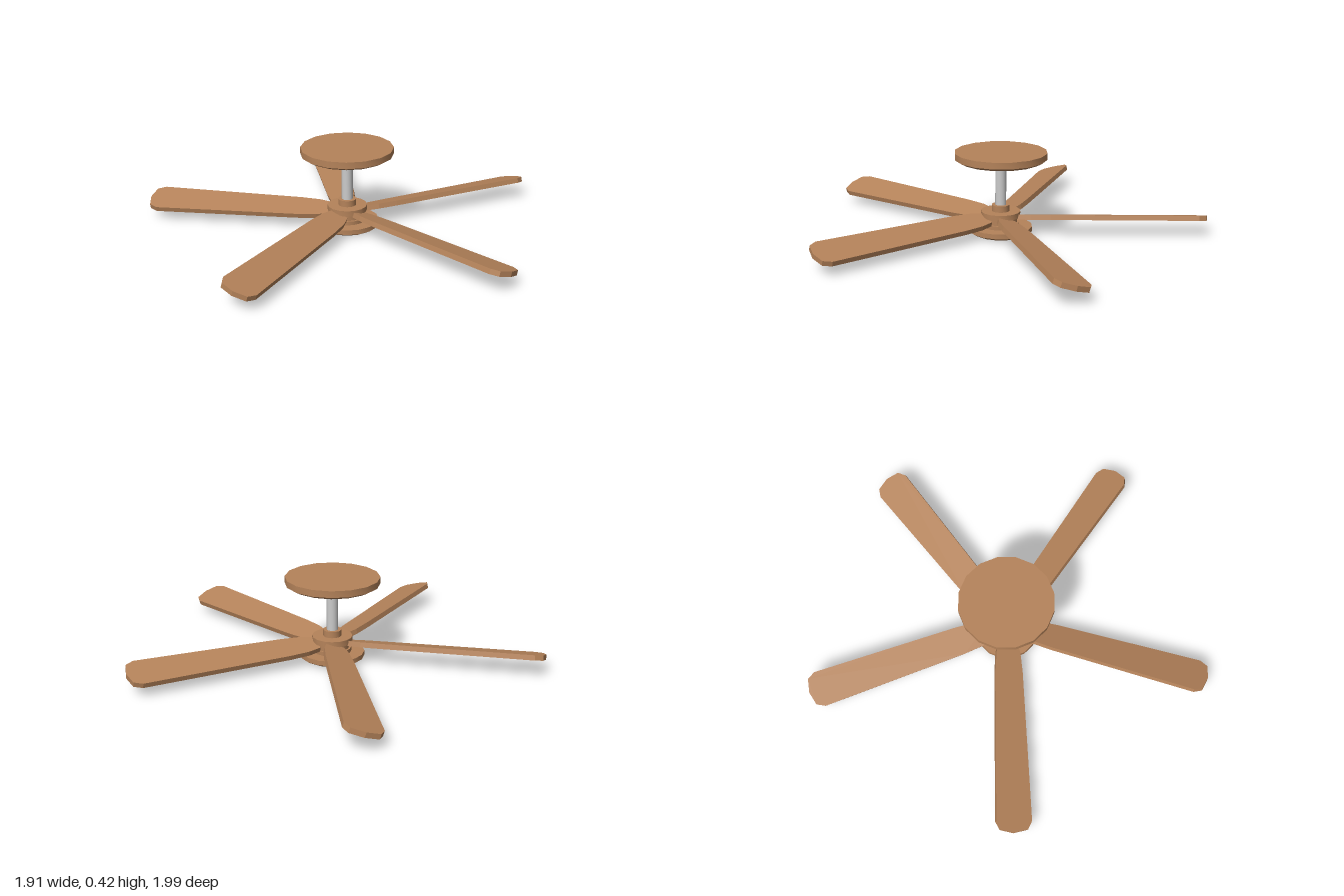
import * as THREE from 'three';
import { toCreasedNormals } from 'three/addons/utils/BufferGeometryUtils.js';

const wood = new THREE.MeshStandardMaterial({ color: 0xb5835a });
const metal = new THREE.MeshStandardMaterial({ color: 0xcccccc });

// Turned part from [radius, height] pairs, listed bottom to top
function turned(name, profile, material) {
  const points = profile.map(([r, y]) => new THREE.Vector2(r, y));
  const geometry = toCreasedNormals(new THREE.LatheGeometry(points, 16), 0.5);
  const mesh = new THREE.Mesh(geometry, material);
  mesh.name = name;
  return mesh;
}

// Flat paddle with a clipped tip and narrowed root, pitched about its length
function bladeGeometry() {
  const half = [[0.085, 0.045], [0.15, 0.062], [0.25, 0.07], [0.985, 0.088], [1.025, 0.067], [1.04, 0]];
  const outline = [
    ...half.map(([x, w]) => new THREE.Vector2(x, -w)),
    ...half.slice(0, -1).reverse().map(([x, w]) => new THREE.Vector2(x, w)),
  ];
  const thickness = 0.025;
  const geometry = new THREE.ExtrudeGeometry(new THREE.Shape(outline), { depth: thickness, bevelEnabled: false });
  geometry.translate(0, 0, -thickness / 2);
  geometry.rotateX(-Math.PI / 2);
  geometry.rotateX(-0.28);
  return geometry;
}

export function createModel() {
  const fan = new THREE.Group();
  fan.name = 'ceilingFan';

  // Ceiling mount and rod
  fan.add(turned('canopy', [[0, 0.375], [0.205, 0.375], [0.233, 0.39], [0.233, 0.423], [0, 0.423]], wood));
  fan.add(turned('canopyCollar', [[0, 0.348], [0.045, 0.348], [0.07, 0.366], [0.07, 0.378], [0, 0.378]], wood));
  fan.add(turned('downRod', [[0, 0.13], [0.028, 0.13], [0.028, 0.36], [0, 0.36]], metal));

  // Motor hub and bottom cap
  fan.add(turned('rodCollar', [[0, 0.11], [0.045, 0.11], [0.045, 0.15], [0, 0.15]], wood));
  fan.add(turned('motorHub', [[0, 0.03], [0.095, 0.03], [0.095, 0.06], [0.085, 0.06], [0.085, 0.09],
    [0.1, 0.09], [0.1, 0.118], [0, 0.118]], wood));
  fan.add(turned('bottomCap', [[0, 0], [0.135, 0.002], [0.16, 0.016], [0.16, 0.04], [0, 0.04]], wood));

  // Five blades around the hub
  const geometry = bladeGeometry();
  for (let i = 0; i < 5; i++) {
    const blade = new THREE.Mesh(geometry, wood);
    blade.name = `blade${i + 1}`;
    blade.position.y = 0.083;
    blade.rotation.y = (i * Math.PI * 2) / 5;
    fan.add(blade);
  }

  // The odd blade count shifts the hub off the middle of the overall width
  fan.position.x = -0.085;
  const model = new THREE.Group();
  model.name = 'model';
  model.add(fan);
  return model;
}
